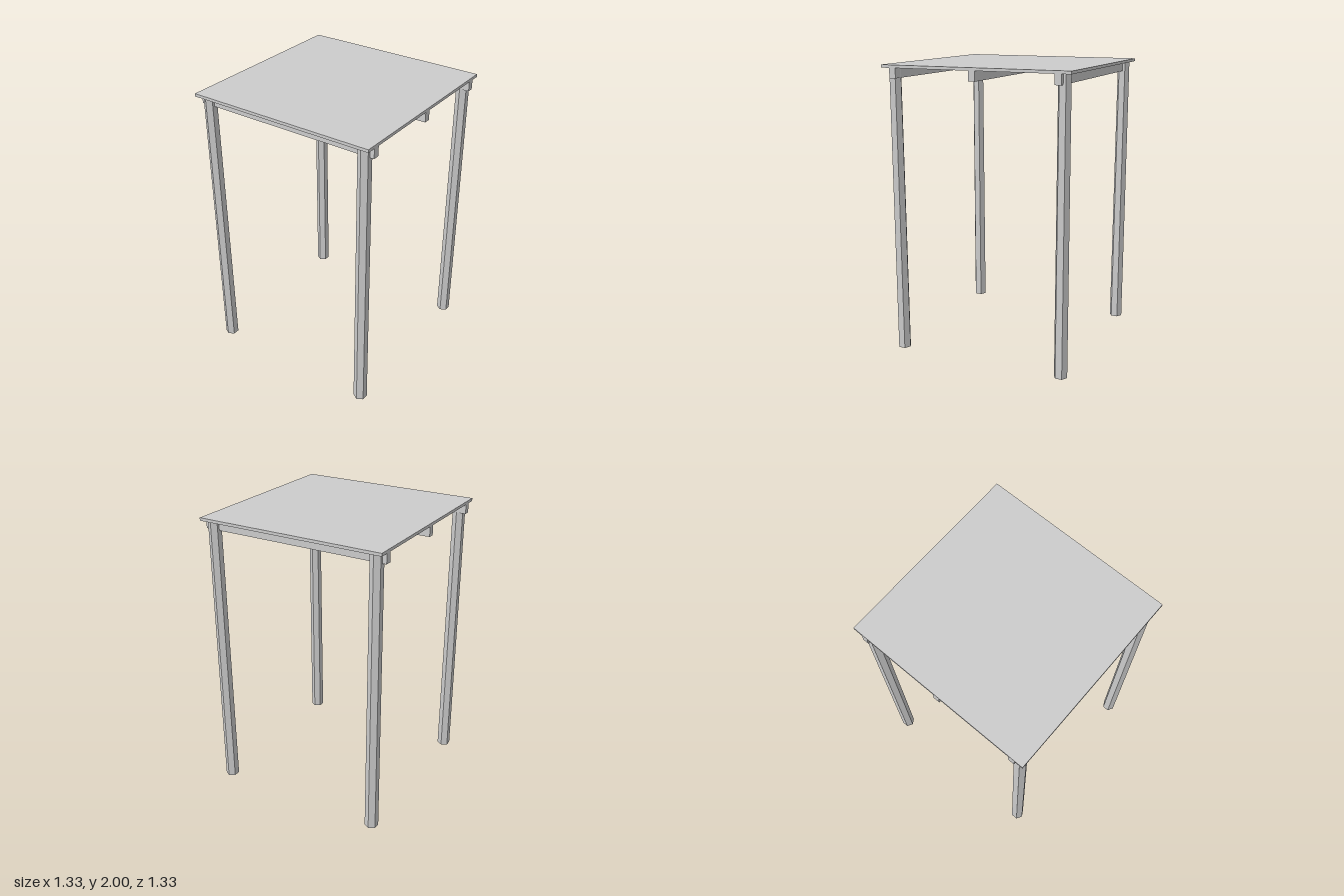
import * as THREE from 'three';

export function createModel() {
  const model = new THREE.Group();
  const lightGrey = new THREE.MeshStandardMaterial({ color: 0xcccccc, flatShading: true });
  lightGrey.name = 'lightGrey';

  const add = (name, geometry, x, y, z) => {
    const mesh = new THREE.Mesh(geometry, lightGrey);
    mesh.name = name;
    mesh.position.set(x, y, z);
    model.add(mesh);
  };

  const side = 1.333, topThickness = 0.02, underside = 2 - topThickness;

  // Flat square top
  add('tableTop', new THREE.BoxGeometry(side, topThickness, side), 0, 2 - topThickness / 2, 0);

  // Three beams running front to back under the top
  const beamHeight = 0.067;
  const beam = new THREE.BoxGeometry(0.046, beamHeight, side);
  [['rightBeam', -0.581], ['middleBeam', 0], ['leftBeam', 0.581]].forEach(([name, x]) =>
    add(name, beam, x, underside - beamHeight / 2, 0));

  // Four slightly tapered hexagonal legs, corners pointing sideways
  const leg = new THREE.CylinderGeometry(0.0433, 0.0467, underside, 6).rotateY(Math.PI / 2);
  for (const sx of [-1, 1]) {
    for (const sz of [-1, 1]) {
      const name = (sz > 0 ? 'front' : 'back') + (sx > 0 ? 'Left' : 'Right') + 'Leg';
      add(name, leg, sx * 0.6, underside / 2, sz * 0.6);
    }
  }
  return model;
}
